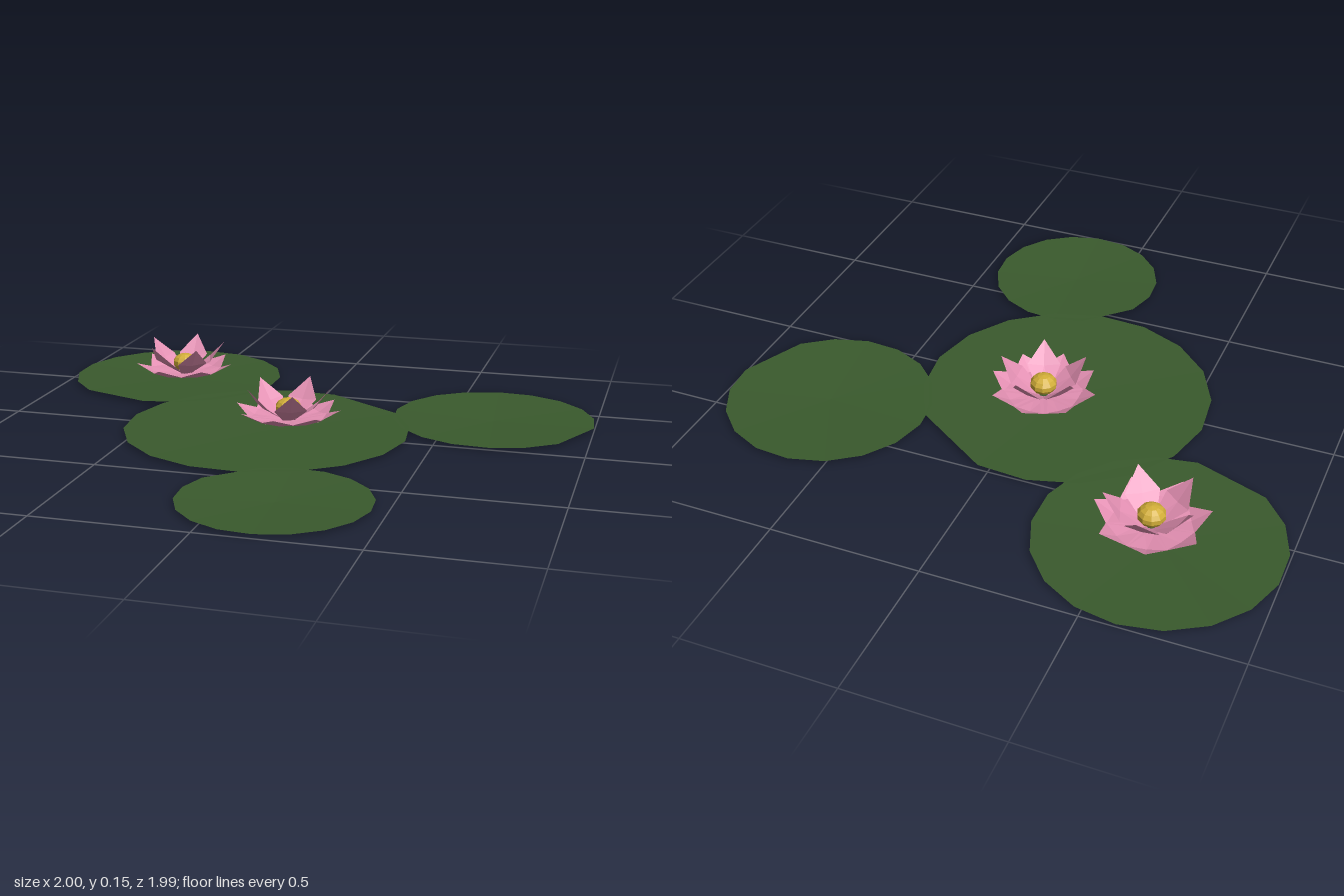
import * as THREE from 'three';

const padGreen = new THREE.MeshStandardMaterial({ color: 0x3a5a2d, side: THREE.DoubleSide, flatShading: true });
padGreen.name = 'padGreen';
const petalPink = new THREE.MeshStandardMaterial({ color: 0xe591b4, side: THREE.DoubleSide, flatShading: true });
petalPink.name = 'petalPink';
const heartYellow = new THREE.MeshStandardMaterial({ color: 0xd2ae38, flatShading: true });
heartYellow.name = 'heartYellow';

const rad = THREE.MathUtils.degToRad;

// Triangle fan from its first point, optionally closed; points are [x, y, z]
function fan(points, closed) {
  const geo = new THREE.BufferGeometry();
  geo.setAttribute('position', new THREE.Float32BufferAttribute(points.flat(), 3));
  const index = [];
  for (let i = 1; i < points.length - 1; i++) index.push(0, i, i + 1);
  if (closed) index.push(0, points.length - 1, 1);
  geo.setIndex(index);
  geo.computeVertexNormals();
  return geo;
}

// Shallow leaf dish: 16 even sides over 321 degrees and one long straight side
function makePad([x, z, r, start]) {
  const points = [[0, 0.002, 0]];
  for (let i = 0; i <= 16; i++) {
    const a = rad(start + (321 * i) / 16);
    points.push([r * Math.cos(a), 0.012, -r * Math.sin(a)]);
  }
  const pad = new THREE.Mesh(fan(points, true), padGreen);
  pad.name = 'lilyPad';
  pad.position.set(x, 0, z);
  return pad;
}

// Kite-shaped petal along +x, creased down the middle
function makePetalGeometry(midR, midY, halfWidth, tipR, tipY) {
  return fan([
    [midR, midY - 0.006, 0],
    [0.015, 0.03, 0.02],
    [midR, midY, halfWidth],
    [tipR, tipY, 0],
    [midR, midY, -halfWidth],
    [0.015, 0.03, -0.02],
  ], true);
}

const outerPetal = makePetalGeometry(0.122, 0.045, 0.062, 0.185, 0.075);
const innerPetal = makePetalGeometry(0.095, 0.085, 0.056, 0.15, 0.15);

function addRing(flower, name, geometry, count, phase) {
  for (let i = 0; i < count; i++) {
    const petal = new THREE.Mesh(geometry, petalPink);
    petal.name = name;
    petal.rotation.y = rad(phase + (360 * i) / count);
    flower.add(petal);
  }
}

function makeFlower(x, z, outerCount, innerPhase) {
  const flower = new THREE.Group();
  flower.name = 'flower';
  addRing(flower, 'outerPetal', outerPetal, outerCount, 0);
  addRing(flower, 'innerPetal', innerPetal, 5, innerPhase);
  // Round yellow centre
  const heart = new THREE.Mesh(new THREE.SphereGeometry(0.046, 10, 7), heartYellow);
  heart.name = 'flowerHeart';
  heart.scale.y = 0.75;
  heart.position.y = 0.072;
  flower.add(heart);
  flower.position.set(x, 0, z);
  return flower;
}

export function createModel() {
  const model = new THREE.Group();
  model.name = 'waterLilies';
  // Pads: centre x, centre z, radius, start angle
  const pads = [
    [-0.61, -0.608, 0.392, 270],
    [-0.08, -0.015, 0.49, 76],
    [0.65, -0.34, 0.35, -5],
    [0.155, 0.69, 0.302, 154],
  ];
  for (const pad of pads) model.add(makePad(pad));
  model.add(makeFlower(-0.575, -0.58, 7, 18));
  model.add(makeFlower(-0.02, -0.075, 8, 3));
  return model;
}
